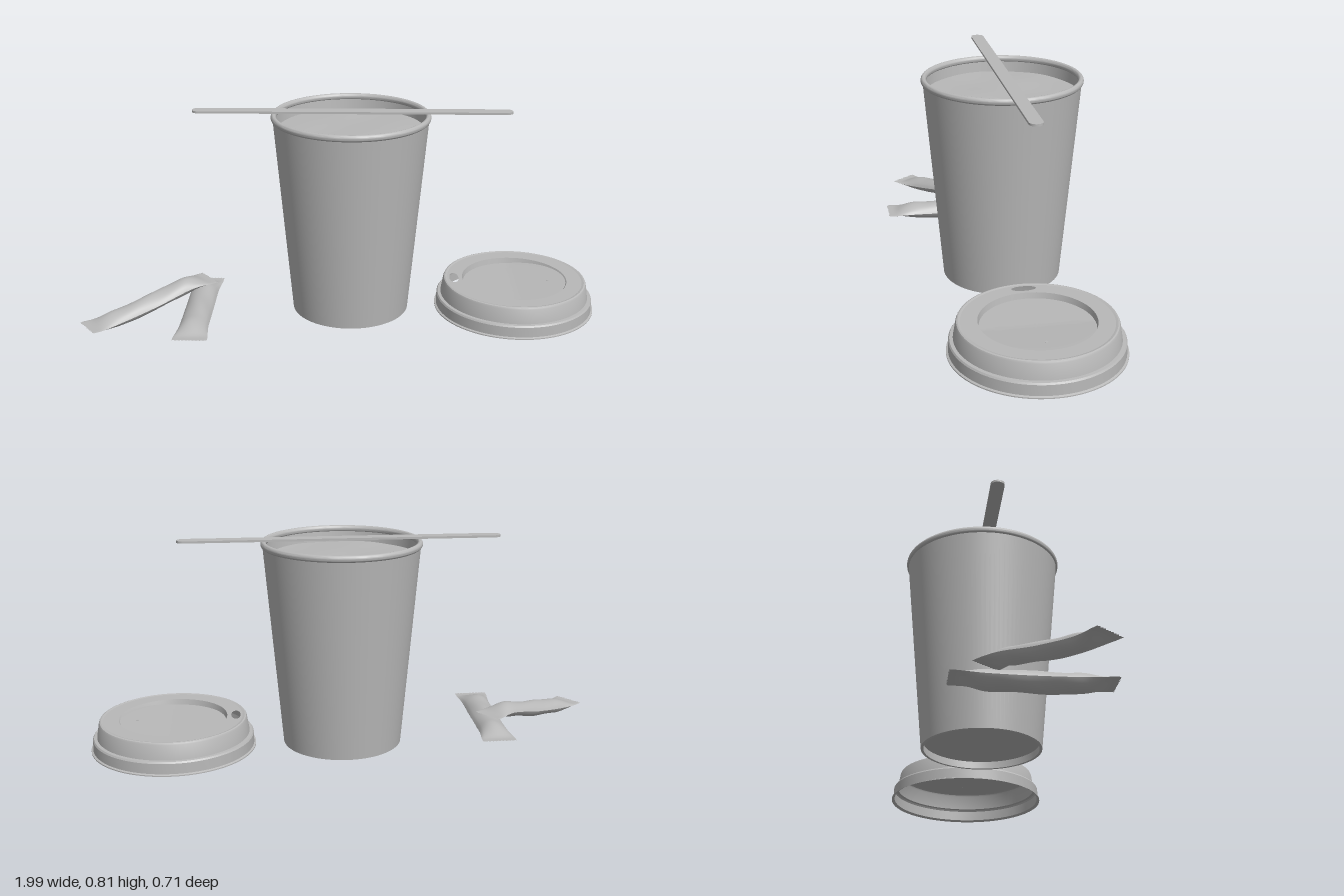
import * as THREE from 'three';
import { toCreasedNormals } from 'three/addons/utils/BufferGeometryUtils.js';

const grey = new THREE.MeshStandardMaterial({ color: 0xb8b8b8, side: THREE.DoubleSide });
grey.name = 'plain grey';

function part(name, geometry, parent) {
  const mesh = new THREE.Mesh(geometry, grey);
  mesh.name = name;
  parent.add(mesh);
  return mesh;
}

// Turned shape with sharp edges kept crisp
function turned(profile) {
  const points = profile.map(([r, y]) => new THREE.Vector2(r, y));
  return toCreasedNormals(new THREE.LatheGeometry(points, 96), 0.5);
}

// Move every vertex by a rule that writes the new position into p
function reshape(geometry, rule) {
  const pos = geometry.attributes.position;
  const p = new THREE.Vector3();
  for (let i = 0; i < pos.count; i++) {
    p.fromBufferAttribute(pos, i);
    rule(p);
    pos.setXYZ(i, p.x, p.y, p.z);
  }
  geometry.computeVertexNormals();
  return geometry;
}

function makeCup() {
  const cup = new THREE.Group();
  cup.name = 'cup';
  // Outer wall, inner wall and recessed base in one profile
  part('cupWall', turned([
    [0, 0.04], [0.219, 0.04], [0.217, 0.012], [0.222, 0.01], [0.227, 0.012],
    [0.295, 0.778], [0.286, 0.785], [0.216, 0.05], [0, 0.05],
  ]), cup);

  // Rolled rim
  const rim = [];
  for (let i = 0; i <= 16; i++) {
    const a = (i / 16) * Math.PI * 2;
    rim.push([0.292 + 0.0105 * Math.cos(a), 0.789 + 0.013 * Math.sin(a)]);
  }
  part('cupRim', turned(rim), cup);

  // Drink surface with faint ripples
  const drink = new THREE.RingGeometry(0.0005, 0.282, 64, 10).rotateX(-Math.PI / 2);
  part('drink', reshape(drink, (p) => {
    p.y = 0.74 + 0.002 * Math.sin(p.x * 19 + 1) * Math.sin(p.z * 16);
  }), cup);
  cup.position.set(0.035, 0, -0.04);
  return cup;
}

function makeLid() {
  const lid = new THREE.Group();
  lid.name = 'lid';
  const top = 0.126, recess = 0.205;
  part('lidSide', turned([
    [0.302, 0.018], [0.313, 0.012], [0.313, 0.016], [0.306, 0.019], [0.305, 0.058], [0.301, 0.064],
    [0.289, 0.065], [0.28, 0.12], [0.277, 0.126], [0.272, 0.128], [0.267, 0.127], [0.264, top],
  ]), lid);

  // Flat top ring with the drinking hole
  const ring = new THREE.Shape().absarc(0, 0, 0.264, 0, Math.PI * 2, false);
  ring.holes.push(new THREE.Path().absarc(0, 0, recess, 0, Math.PI * 2, true));
  ring.holes.push(new THREE.Path().absellipse(-0.238, 0, 0.018, 0.045, 0, Math.PI * 2, true));
  const ringMesh = part('lidTop', new THREE.ShapeGeometry(ring, 48).rotateX(-Math.PI / 2), lid);
  ringMesh.position.y = top;

  // Recess: level on the drinking side, rising past the centre line
  const floor = new THREE.RingGeometry(0.0005, recess, 96, 20).rotateX(-Math.PI / 2);
  reshape(floor, (p) => {
    const r = Math.hypot(p.x, p.z);
    const depth = 0.022 - 0.019 * Math.max(0, p.x / recess);
    p.y = r > recess - 0.002 ? top : top - depth;
    if (r > recess - 0.015 && r < recess - 0.002) {
      p.x *= 0.201 / r;
      p.z *= 0.201 / r;
    }
  });
  part('lidRecess', toCreasedNormals(floor, 0.4), lid);

  // Tiny vent dimple
  const vent = part('vent', new THREE.CylinderGeometry(0.006, 0.006, 0.002, 16), lid);
  vent.position.set(0.135, 0.1165, 0);
  lid.position.set(0.684, 0, -0.044);
  return lid;
}

function makeStirrer() {
  const r = 0.025, half = 0.605 - r;
  const outline = new THREE.Shape();
  outline.absarc(half, 0, r, -Math.PI / 2, Math.PI / 2, false);
  outline.absarc(-half, 0, r, Math.PI / 2, Math.PI * 1.5, false);
  const geometry = new THREE.ExtrudeGeometry(outline, { depth: 0.008, bevelEnabled: false, curveSegments: 12 });
  geometry.rotateX(-Math.PI / 2);
  const stirrer = new THREE.Mesh(geometry, grey);
  stirrer.name = 'stirrer';
  stirrer.position.set(0.04, 0.803, -0.042);
  return stirrer;
}

// Pillow-shaped packet swept along a path, with flat crimped ends
function makeSachet(name, points, width, thickness) {
  const group = new THREE.Group();
  group.name = name;
  const path = new THREE.CatmullRomCurve3(points.map((p) => new THREE.Vector3(...p)));
  const across = new THREE.Vector3()
    .subVectors(path.getPoint(1), path.getPoint(0)).setY(0).normalize()
    .cross(new THREE.Vector3(0, 1, 0));
  const rows = 48, columns = 20;
  for (const side of [1, -1]) {
    const face = new THREE.PlaneGeometry(2, 1, columns, rows);
    reshape(face, (p) => {
      const t = p.y + 0.5, u = p.x * side;
      const k = Math.min(1, Math.max(0, (Math.min(t, 1 - t) - 0.055) / 0.2));
      const puff = Math.sin(k * Math.PI / 2);
      const halfWidth = (width / 2) * (1 - 0.15 * puff);
      const wrinkle = 1 + 0.08 * Math.sin(t * 17 + u * 2);
      const lift = side * (0.001 + thickness / 2 * puff * wrinkle * Math.pow(1 - u * u, 0.8));
      // Zigzag cut on the two ends
      const end = t < 0.001 || t > 0.999;
      const notch = end && Math.round((u + 1) / 2 * columns) % 2 ? 0.01 : 0;
      const centre = path.getPointAt(THREE.MathUtils.clamp(t < 0.5 ? t + notch : t - notch, 0, 1));
      p.copy(centre).addScaledVector(across, u * halfWidth);
      p.y += Math.abs(u) > 0.999 ? 0 : lift;
    });
    part(side > 0 ? 'sachetTop' : 'sachetBottom', face, group);
  }
  return group;
}

export function createModel() {
  const model = new THREE.Group();
  model.name = 'takeawayCupSet';
  model.add(makeCup(), makeLid(), makeStirrer());
  model.add(makeSachet('lowerSachet',
    [[-0.555, 0.042, 0.355], [-0.555, 0.04, 0.28], [-0.555, 0.037, 0.07], [-0.555, 0.04, -0.13], [-0.555, 0.042, -0.21]],
    0.13, 0.068));
  model.add(makeSachet('upperSachet',
    [[-0.96, 0.036, 0.248], [-0.9, 0.035, 0.2], [-0.75, 0.062, 0.085], [-0.61, 0.099, -0.022], [-0.53, 0.1, -0.085]],
    0.118, 0.058));
  return model;
}
